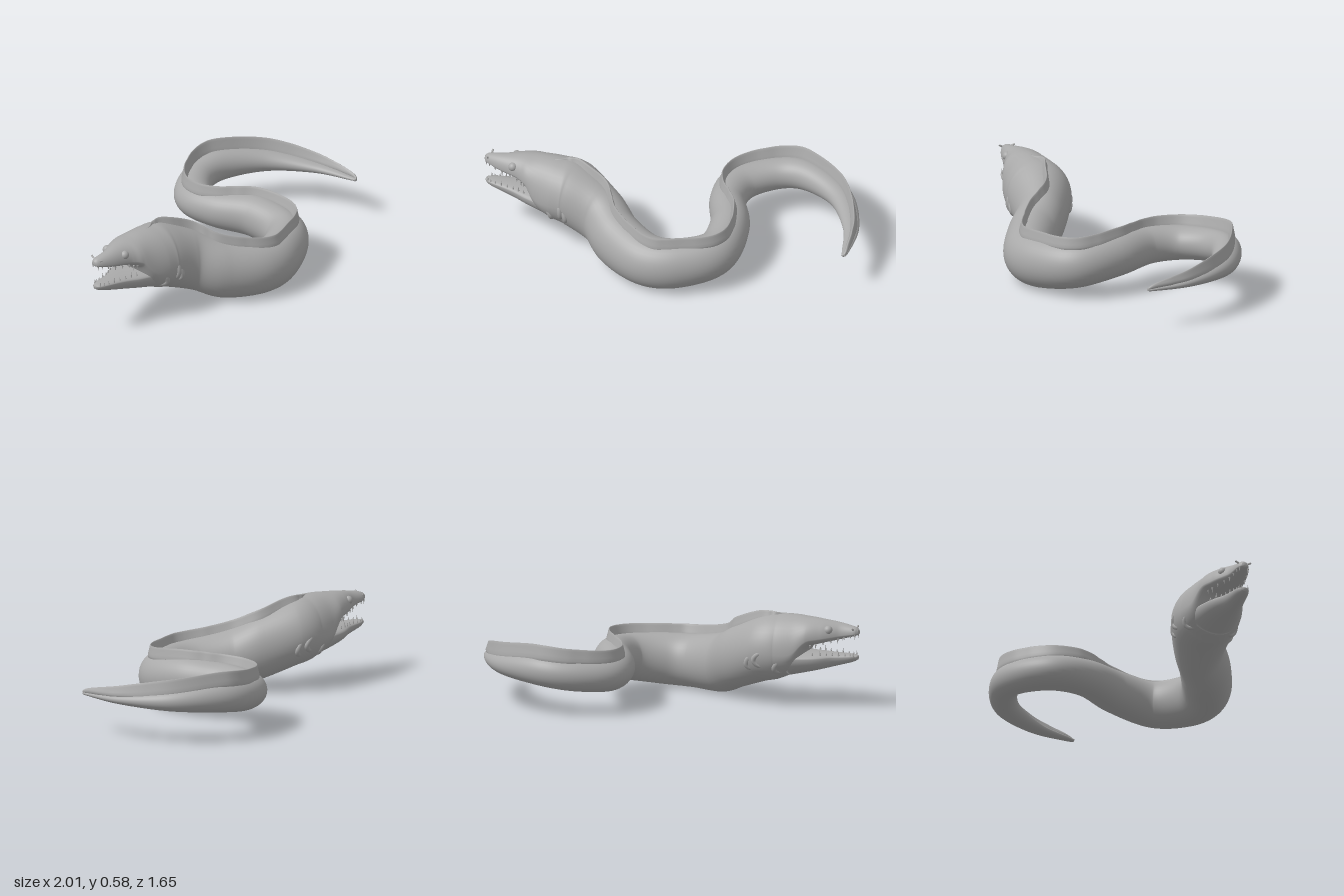
import * as THREE from 'three';

const skin = new THREE.MeshStandardMaterial({ color: 0xa9a9a9 });
skin.name = 'grey skin';

// Stations from snout to tail: x, z, half width, bottom, top
const BODY = [
  [-0.997, 0.79, 0.014, 0.462, 0.488],
  [-0.97, 0.78, 0.037, 0.448, 0.506],
  [-0.88, 0.74, 0.064, 0.422, 0.527],
  [-0.79, 0.675, 0.108, 0.396, 0.545],
  [-0.73, 0.64, 0.142, 0.365, 0.552],
  [-0.66, 0.605, 0.170, 0.225, 0.560],
  [-0.57, 0.56, 0.190, 0.165, 0.560],
  [-0.47, 0.515, 0.195, 0.135, 0.545],
  [-0.28, 0.485, 0.155, 0.070, 0.463],
  [-0.10, 0.515, 0.155, 0.010, 0.380],
  [0.14, 0.505, 0.150, 0.003, 0.332],
  [0.30, 0.395, 0.137, 0.015, 0.330],
  [0.40, 0.18, 0.130, 0.055, 0.340],
  [0.285, -0.045, 0.121, 0.100, 0.366],
  [0.085, -0.21, 0.111, 0.122, 0.350],
  [-0.005, -0.40, 0.118, 0.130, 0.340],
  [0.08, -0.61, 0.101, 0.153, 0.353],
  [0.25, -0.715, 0.092, 0.180, 0.366],
  [0.54, -0.715, 0.077, 0.202, 0.332],
  [0.81, -0.56, 0.050, 0.222, 0.286],
  [0.97, -0.37, 0.022, 0.236, 0.262],
  [0.995, -0.325, 0.010, 0.240, 0.256],
];
const JAW = [
  [-0.99, 0.79, 0.014, 0.305, 0.328],
  [-0.95, 0.775, 0.042, 0.285, 0.335],
  [-0.85, 0.72, 0.070, 0.253, 0.339],
  [-0.75, 0.655, 0.120, 0.222, 0.342],
  [-0.61, 0.58, 0.160, 0.185, 0.350],
];

const { smoothstep, clamp } = THREE.MathUtils;
// Relative height of the widest point: low in the upper jaw, midway in the body
const bodyWaist = (u) => 0.28 + 0.22 * smoothstep(u, 3.5, 7.5);
const jawWaist = () => 0.72;
// Fin rises behind the head, is tallest at the last bend and fades at the tail tip
const finHeight = (u) =>
  (0.05 * smoothstep(u, 5.5, 8) + 0.022 * smoothstep(u, 14, 17)) * (1 - smoothstep(u, 18, 21.3));

// Smooth interpolation of the stations; u counts in stations
function spine(rows, waist) {
  const curve = (f) => new THREE.CatmullRomCurve3(rows.map(f), false, 'catmullrom', 0.5);
  const path = curve((r) => new THREE.Vector3(r[0], 0, r[1]));
  const size = curve((r) => new THREE.Vector3(r[2], r[3], r[4]));
  const last = rows.length - 1;
  const at = (u) => {
    const p = path.getPoint(u / last), s = size.getPoint(u / last), d = path.getTangent(u / last);
    return {
      hw: s.x, yb: s.y, yt: s.z, ym: s.y + (s.z - s.y) * waist(u),
      place: (side, y) => new THREE.Vector3(p.x - d.z * side, y, p.z + d.x * side),
    };
  };
  const surface = (u, a) => {
    const k = at(u), c = Math.cos(a), s = Math.sin(a);
    return k.place(k.hw * c, k.ym + (s > 0 ? k.yt - k.ym : k.ym - k.yb) * s);
  };
  // Signed sideways bend, used to lean the fin to the outside of each curve
  const bend = (u) => {
    const a = Math.max(0, u - 0.6) / last, b = Math.min(last, u + 0.6) / last;
    const d = path.getTangent(u / last), turn = path.getTangent(b).sub(path.getTangent(a));
    return (turn.z * d.x - turn.x * d.z) / path.getPoint(a).distanceTo(path.getPoint(b));
  };
  return { at, surface, bend, last };
}

function part(name, geometry) {
  const m = new THREE.Mesh(geometry, skin);
  m.name = name;
  return m;
}

// Closed tube of rings, with both ends drawn together
function loft(name, u0, u1, rings, sides, point) {
  const pos = [], index = [];
  for (let i = 0; i <= rings; i++) {
    const u = u0 + (u1 - u0) * i / rings;
    const ring = [], mid = new THREE.Vector3();
    for (let j = 0; j < sides; j++) {
      ring.push(point(u, (j / sides) * Math.PI * 2));
      mid.addScaledVector(ring[j], 1 / sides);
    }
    const end = i === 0 || i === rings;
    for (const v of ring) pos.push(...(end ? mid : v).toArray());
  }
  for (let i = 0; i < rings; i++) for (let j = 0; j < sides; j++) {
    const a = i * sides + j, b = i * sides + (j + 1) % sides;
    index.push(a, a + sides, b, b, a + sides, b + sides);
  }
  const g = new THREE.BufferGeometry();
  g.setAttribute('position', new THREE.Float32BufferAttribute(pos, 3));
  g.setIndex(index);
  g.computeVertexNormals();
  return part(name, g);
}

export function createModel() {
  const eel = new THREE.Group();
  eel.name = 'eel';
  const body = spine(BODY, bodyWaist), jaw = spine(JAW, jawWaist);

  // Body with upper head, and the lower jaw
  eel.add(loft('body', 0, body.last, 252, 40, body.surface));
  eel.add(loft('lowerJaw', 0, jaw.last, 48, 32, jaw.surface));

  // Dorsal fin: a thin crest that widens into the back
  eel.add(loft('dorsalFin', 5.5, body.last, 200, 16, (u, a) => {
    const k = body.at(u), crest = k.yt + finHeight(u);
    const base = k.yt - Math.min(0.04, (k.yt - k.yb) * 0.4);
    const lean = clamp(-0.016 * body.bend(u), -0.45 * k.hw, 0.45 * k.hw);
    const s = (Math.sin(a) + 1) / 2;
    const w = Math.min(k.hw * 0.5, 0.008 + 0.03 * (1 - s) ** 2);
    return k.place(lean * (0.9 + 0.12 * s) + w * Math.cos(a), base + (crest - base) * s);
  }));

  for (const side of [1, -1]) {
    const label = side > 0 ? 'left' : 'right';
    const angle = (a) => (side > 0 ? a : Math.PI - a);

    // Eye
    const eye = part(label + 'Eye', new THREE.SphereGeometry(0.027, 24, 16));
    eye.position.copy(body.surface(2.55, angle(0.5))).lerp(body.at(2.55).place(0, 0.48), 0.15);
    eel.add(eye);

    // Tubular nostril at the snout
    const n0 = body.surface(1, angle(0.7));
    const n1 = body.at(1).place(side * 0.05, n0.y + 0.012);
    eel.add(part(label + 'Nostril', new THREE.TubeGeometry(new THREE.LineCurve3(n0, n1), 2, 0.006, 8)));

    // Skin folds round the gill opening and behind the mouth corner: station, start and end angle, bow
    for (const [u, a0, a1, bow] of [[6.6, 0.1, -0.55, 0.3], [7, -0.05, -0.6, 0.18], [5.7, -0.25, -0.9, 0.3]]) {
      const pts = [];
      for (let i = 0; i <= 6; i++) {
        const s = i / 6, v = u + bow * Math.sin(s * Math.PI);
        const inset = 0.03 + 0.1 * (2 * s - 1) ** 2;
        pts.push(body.surface(v, angle(a0 + (a1 - a0) * s)).lerp(body.at(v).place(0, 0.33), inset));
      }
      eel.add(part(label + 'GillFold', new THREE.TubeGeometry(new THREE.CatmullRomCurve3(pts), 24, 0.017, 10)));
    }

    // Teeth along both jaws
    for (let i = 0; i < 8; i++) {
      const h = i % 3 === 0 ? 0.034 : 0.022;
      const kj = jaw.at(0.7 + i * 0.32), kb = body.at(0.8 + i * 0.4);
      const lower = part(label + 'LowerTooth', new THREE.ConeGeometry(0.006, h, 8));
      lower.position.copy(kj.place(side * kj.hw * 0.82, kj.yt - 0.012 + h / 2));
      const upper = part(label + 'UpperTooth', new THREE.ConeGeometry(0.006, h, 8));
      upper.position.copy(kb.place(side * kb.hw * 0.8, kb.yb + 0.012 - h / 2));
      upper.rotation.x = Math.PI;
      eel.add(lower, upper);
    }
  }
  return eel;
}
